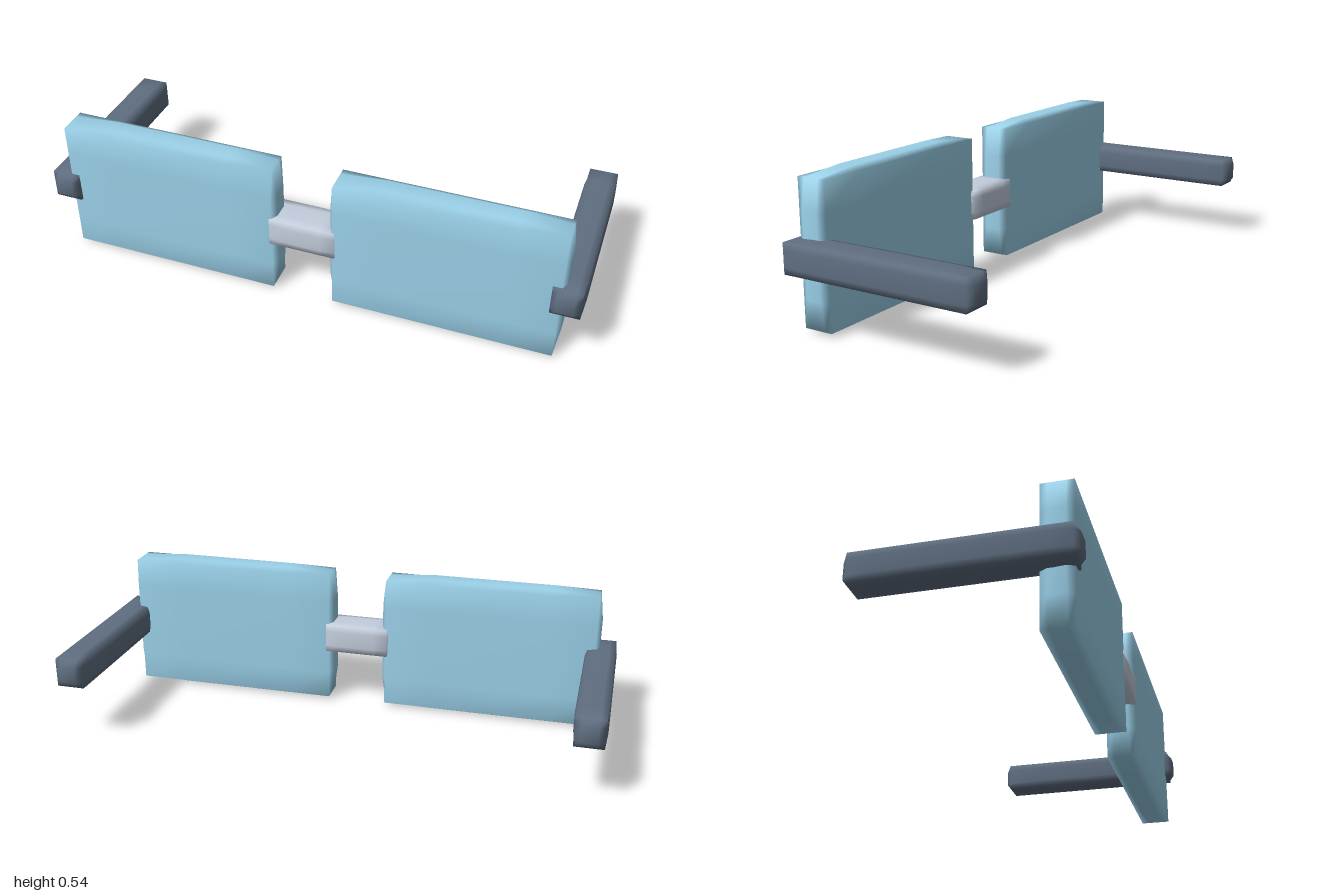
import * as THREE from 'three';
import { mergeVertices } from 'three/addons/utils/BufferGeometryUtils.js';

// Soft box: half sizes, half extents of the flat centre of each face,
// and how far the edges and corners are drawn in along each axis.
function softBox(half, flat, inset) {
  const geo = new THREE.BoxGeometry(1, 1, 1, 3, 3, 3);
  const pos = geo.attributes.position;
  for (let i = 0; i < pos.count; i++) {
    const p = [pos.getX(i), pos.getY(i), pos.getZ(i)];
    const outer = p.map((v) => Math.abs(v) > 0.4);
    const onEdge = outer.filter(Boolean).length > 1;
    const q = p.map((v, k) =>
      Math.sign(v) * (outer[k] ? half[k] - (onEdge ? inset[k] : 0) : flat[k]));
    pos.setXYZ(i, ...q);
  }
  geo.deleteAttribute('normal');
  geo.deleteAttribute('uv');
  const smooth = mergeVertices(geo, 1e-5);
  smooth.computeVertexNormals();
  return smooth;
}

export function createModel() {
  const model = new THREE.Group();
  const add = (name, geo, color, x, y, z) => {
    const mesh = new THREE.Mesh(geo, new THREE.MeshStandardMaterial({ color }));
    mesh.name = name;
    mesh.position.set(x, y, z);
    model.add(mesh);
  };

  const lens = softBox([0.418, 0.27, 0.059], [0.235, 0.15, 0.03], [0.015, 0.013, 0.003]);
  const arm = softBox([0.058, 0.059, 0.375], [0.03, 0.03, 0.28], [0.006, 0.005, 0.018]);
  const bridge = softBox([0.13, 0.06, 0.07], [0.07, 0.03, 0.035], [0.007, 0.005, 0.006]);

  // Lenses and temple arms, mirrored
  for (const [side, s] of [['left', 1], ['right', -1]]) {
    add(side + 'Lens', lens, 0x9ad0e8, s * 0.518, 0.272, 0.291);
    add(side + 'Arm', arm, 0x5f6e80, s * 0.942, 0.272, 0);
  }

  // Nose bridge between the lenses
  add('bridge', bridge, 0xc3cddc, 0, 0.275, 0.286);

  return model;
}
